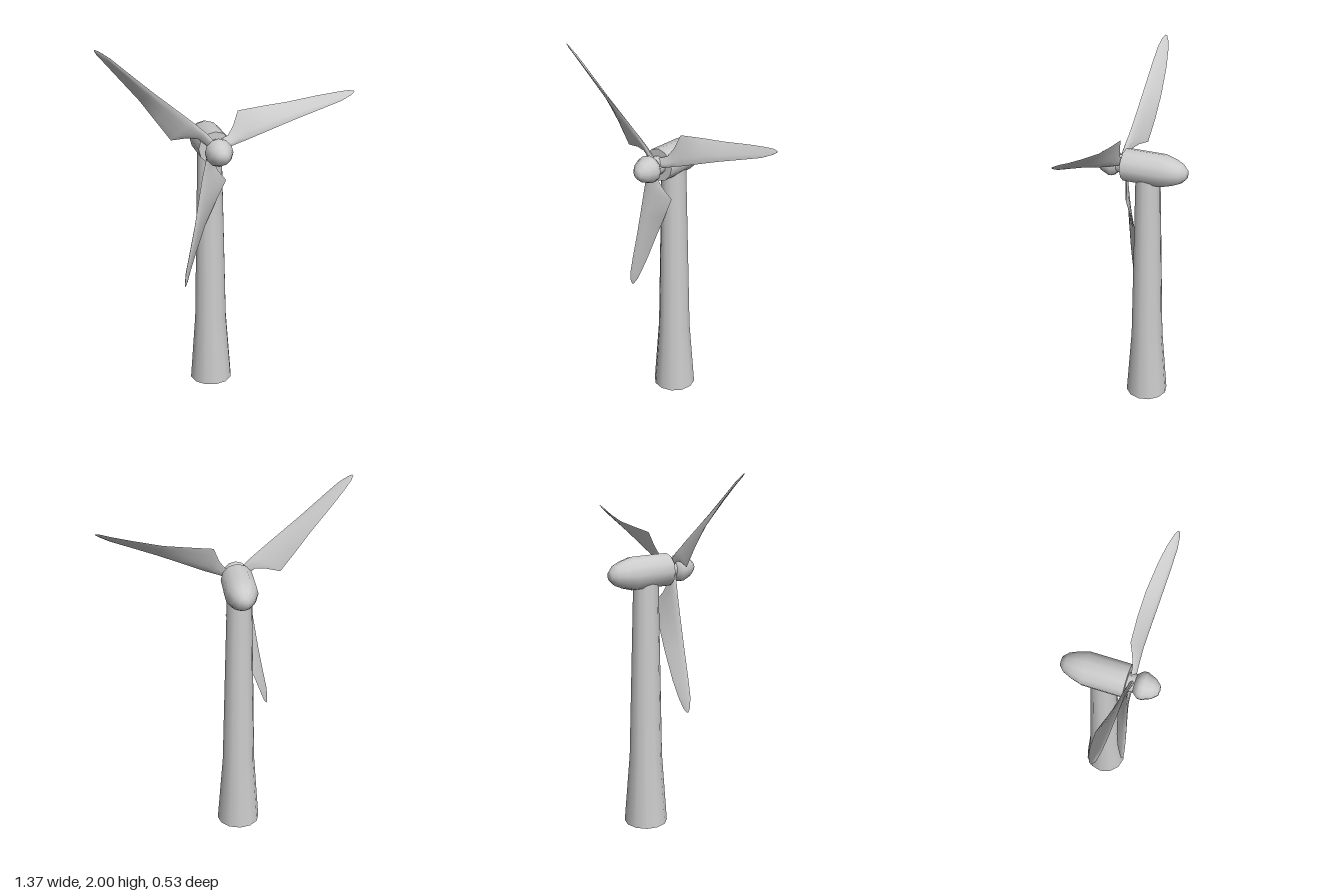
import * as THREE from 'three';
import { toCreasedNormals } from 'three/addons/utils/BufferGeometryUtils.js';

const AXIS_X = -0.072, AXIS_Y = 1.445;
const material = new THREE.MeshStandardMaterial({ color: 0xcccccc });

function addMesh(parent, name, geometry) {
  const mesh = new THREE.Mesh(geometry, material);
  mesh.name = name;
  parent.add(mesh);
  return mesh;
}

// Turned part from [radius, height] pairs, listed bottom to top
function turned(profile, sides = 12) {
  const points = profile.map(([r, h]) => new THREE.Vector2(r, h));
  return toCreasedNormals(new THREE.LatheGeometry(points, sides), 0.9);
}

// Blade along +x: [span, front edge y, z, back edge y, z, thickness]
const BLADE = [
  [0.02, -0.025, 0.120, 0.020, 0.104, 0.030],
  [0.09, -0.030, 0.118, 0.024, 0.094, 0.026],
  [0.135, -0.030, 0.117, 0.058, 0.080, 0.024],
  [0.187, -0.030, 0.117, 0.120, 0.061, 0.022],
  [0.32, -0.025, 0.122, 0.091, 0.053, 0.022],
  [0.45, -0.020, 0.128, 0.062, 0.052, 0.021],
  [0.62, -0.018, 0.134, 0.037, 0.067, 0.018],
  [0.72, -0.017, 0.135, 0.022, 0.084, 0.015],
  [0.78, -0.009, 0.130, 0.013, 0.101, 0.011],
  [0.805, -0.002, 0.121, 0.004, 0.113, 0.005],
];

// Loft of rounded-front, sharp-back sections, closed at both ends
function bladeGeometry() {
  const n = 12, pos = [], index = [];
  for (const [x, y0, z0, y1, z1, thick] of BLADE) {
    const cy = (y0 + y1) / 2, cz = (z0 + z1) / 2;
    const hy = (y1 - y0) / 2, hz = (z1 - z0) / 2, half = Math.hypot(hy, hz);
    for (let j = 0; j < n; j++) {
      const a = (j / n) * Math.PI * 2, c = Math.cos(a);
      const s = Math.sin(a) * (0.65 - 0.35 * c) * thick / 2 / half;
      pos.push(x, cy + hy * c - hz * s, cz + hz * c + hy * s);
    }
  }
  const last = (BLADE.length - 1) * n;
  for (let i = 0; i < last; i += n) {
    for (let j = 0; j < n; j++) {
      const a = i + j, b = i + (j + 1) % n;
      index.push(a, b, b + n, a, b + n, a + n);
    }
  }
  for (let j = 1; j < n - 1; j++) {
    index.push(0, j + 1, j, last, last + j, last + j + 1);
  }
  const geometry = new THREE.BufferGeometry();
  geometry.setAttribute('position', new THREE.Float32BufferAttribute(pos, 3));
  geometry.setIndex(index);
  return toCreasedNormals(geometry, 0.9);
}

export function createModel() {
  const model = new THREE.Group();
  model.name = 'windTurbine';

  // Tapered tower with a flared foot
  const tower = addMesh(model, 'tower', turned([[0, 0], [0.121, 0], [0.091, 0.4], [0.068, 1.4], [0, 1.4]]));
  tower.position.set(AXIS_X, 0, -0.04);

  // Generator housing, rounded at the back and flat at the front
  const nacelle = addMesh(model, 'nacelle', turned([
    [0, -0.265], [0.026, -0.263], [0.054, -0.235], [0.073, -0.19], [0.09, -0.13], [0.09, 0.09], [0, 0.09],
  ]));

  // Shaft and nose cone
  const shaft = addMesh(model, 'shaft', turned([[0, 0.08], [0.05, 0.08], [0.05, 0.14], [0, 0.14]]));
  const spinner = addMesh(model, 'spinner', turned([
    [0, 0.13], [0.05, 0.131], [0.073, 0.158], [0.074, 0.18], [0.054, 0.228], [0.026, 0.259], [0, 0.262],
  ]));
  for (const part of [nacelle, shaft, spinner]) {
    part.rotation.x = Math.PI / 2;
    part.position.set(AXIS_X, AXIS_Y, 0);
  }

  // Three twisted blades
  const rotor = new THREE.Group();
  rotor.name = 'rotor';
  rotor.position.set(-0.084, 1.461, 0);
  const geometry = bladeGeometry();
  for (let i = 0; i < 3; i++) {
    addMesh(rotor, 'blade' + (i + 1), geometry).rotation.z = THREE.MathUtils.degToRad(18 + 120 * i);
  }
  model.add(rotor);
  return model;
}
